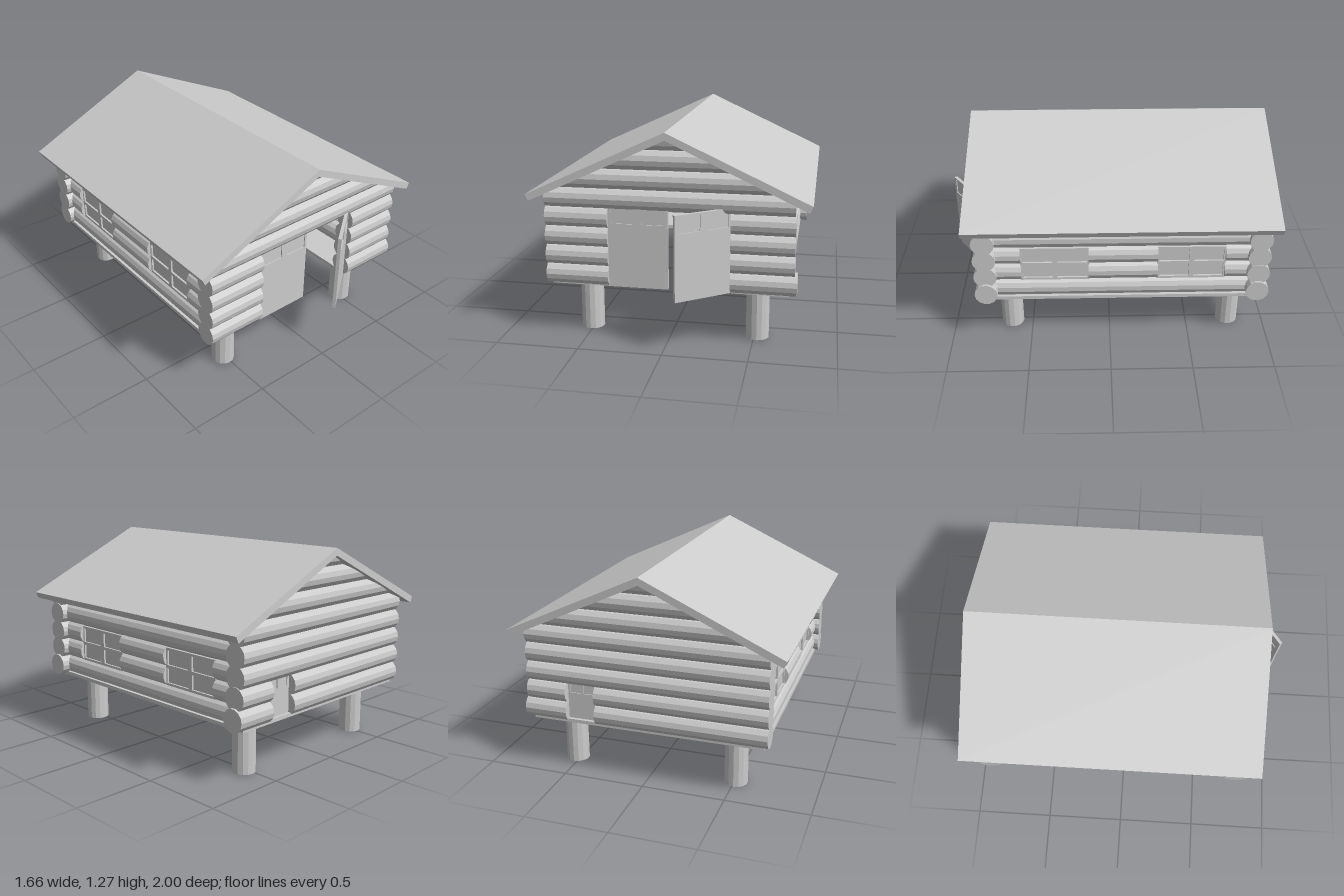
import * as THREE from 'three';

const R = 0.07, ROW0 = 0.39, STEP = 0.118;   // log radius, first row height, row spacing
const APEX = 1.225, SLOPE = 0.464;           // underside of the roof
const FRONT_Z = 0.755, BACK_Z = -0.9, SIDE_X = 0.64;

const mat = new THREE.MeshStandardMaterial({ color: 0xcccccc, flatShading: true });

function add(parent, name, geometry, x = 0, y = 0, z = 0) {
  const mesh = new THREE.Mesh(geometry, mat);
  mesh.name = name;
  mesh.position.set(x, y, z);
  parent.add(mesh);
  return mesh;
}

const rowY = (i) => ROW0 + i * STEP;

// Log along x whose ends are trimmed to stay beneath the roof slope
function crossLog(parent, name, x0, x1, y, z) {
  const g = new THREE.CylinderGeometry(R, R, x1 - x0, 14).rotateZ(Math.PI / 2);
  g.translate((x0 + x1) / 2, y, z);
  const p = g.attributes.position;
  for (let i = 0; i < p.count; i++) {
    const py = Math.min(p.getY(i), APEX + 0.01);
    const limit = Math.max(0, (APEX + 0.01 - py) / SLOPE);
    p.setY(i, py);
    p.setX(i, THREE.MathUtils.clamp(p.getX(i), -limit, limit));
  }
  g.computeVertexNormals();
  add(parent, name, g);
}

// Log along z
function sideLog(parent, x, y, z0, z1) {
  const g = new THREE.CylinderGeometry(R, R, z1 - z0, 14).rotateX(Math.PI / 2);
  add(parent, 'sideLog', g, x, y, (z0 + z1) / 2);
}

function rectPath(Type, x0, y0, x1, y1) {
  return new Type([[x0, y0], [x1, y0], [x1, y1], [x0, y1]].map(([x, y]) => new THREE.Vector2(x, y)));
}

// Flat panel with recessed panes, centred in x and z, standing on y = 0
function panedPanel(name, w, h, depth, panes) {
  const group = new THREE.Group();
  group.name = name;
  const shape = rectPath(THREE.Shape, -w / 2, 0, w / 2, h);
  for (const [x0, y0, x1, y1] of panes) {
    shape.holes.push(rectPath(THREE.Path, x0, y0, x1, y1));
    add(group, 'pane', new THREE.BoxGeometry(x1 - x0, y1 - y0, depth * 0.4), (x0 + x1) / 2, (y0 + y1) / 2, 0);
  }
  const g = new THREE.ExtrudeGeometry(shape, { depth, bevelEnabled: false }).translate(0, 0, -depth / 2);
  add(group, 'frame', g);
  return group;
}

function door(name, w, h) {
  const top = h - 0.012, low = h - 0.108;
  return panedPanel(name, w, h, 0.02, [
    [-w / 2 + 0.022, low, -0.02, top],
    [0.022, low, w / 2 - 0.016, top],
  ]);
}

export function createModel() {
  const root = new THREE.Group();
  root.name = 'logCabin';

  // Stilts
  for (const x of [-0.51, 0.52])
    for (const z of [0.63, -0.77])
      add(root, 'stilt', new THREE.CylinderGeometry(R, R, 0.34, 14), x, 0.17, z);

  // Floor with the doorway notch running inward from the front
  const floor = new THREE.Shape([
    [-0.71, -0.78], [-0.355, -0.78], [-0.355, 0.49], [0.37, 0.49],
    [0.37, -0.78], [0.71, -0.78], [0.71, 0.94], [-0.71, 0.94],
  ].map(([x, y]) => new THREE.Vector2(x, y)));
  const floorGeo = new THREE.ExtrudeGeometry(floor, { depth: 0.022, bevelEnabled: false });
  add(root, 'floor', floorGeo.rotateX(-Math.PI / 2), 0, 0.32, 0);

  // Front and back walls, rising into the gables
  const walls = new THREE.Group();
  walls.name = 'walls';
  root.add(walls);
  for (let i = 0; i < 8; i++) {
    const y = rowY(i), end = i === 0 ? 0.755 : 0.74;
    if (i < 4) {
      crossLog(walls, 'frontLog', -0.735, -0.355, y, FRONT_Z);
      crossLog(walls, 'frontLog', 0.37, end, y, FRONT_Z);
    } else {
      crossLog(walls, 'frontLog', -0.735, 0.735, y, FRONT_Z);
    }
    if (i < 2) {
      crossLog(walls, 'backLog', -0.735, 0.31, y, BACK_Z);
      crossLog(walls, 'backLog', 0.49, end, y, BACK_Z);
    } else {
      crossLog(walls, 'backLog', -0.735, 0.735, y, BACK_Z);
    }
  }

  // Side walls, with two window openings each
  for (const s of [-1, 1]) {
    for (let i = 0; i < 5; i++) {
      const spans = i === 1 || i === 2
        ? [[-0.88, -0.7], [-0.29, 0.13], [0.54, 0.73]]
        : [[-0.88, 0.73]];
      for (const [z0, z1] of spans) sideLog(walls, s * SIDE_X, rowY(i), z0, z1);
    }
    for (const z of [0.335, -0.495]) {
      const panes = [];
      for (const x of [-0.195, 0.015])
        for (const y of [0.015, 0.125]) panes.push([x, y, x + 0.18, y + 0.09]);
      const win = panedPanel('sideWindow', 0.42, 0.23, 0.04, panes);
      win.position.set(s * 0.665, 0.45, z);
      win.rotation.y = s * Math.PI / 2;
      root.add(win);
    }
  }

  // Double front door: one leaf shut, one swung open
  const shut = door('closedDoor', 0.36, 0.497);
  shut.position.set(-0.177, 0.325, 0.785);
  root.add(shut);
  const open = door('openDoor', 0.36, 0.51);
  open.position.set(0.221, 0.325, 0.884);
  open.rotation.y = 0.641;
  root.add(open);

  // Small hatch in the back wall
  const hatch = panedPanel('backHatch', 0.18, 0.25, 0.02, [
    [-0.075, 0.18, -0.01, 0.235], [0.01, 0.18, 0.075, 0.235],
  ]);
  hatch.position.set(0.4, 0.325, -0.91);
  root.add(hatch);

  // Gabled roof
  const roof = new THREE.Shape([
    [0, 1.27], [-0.832, 0.885], [-0.814, 0.846], [0, APEX], [0.814, 0.846], [0.832, 0.885],
  ].map(([x, y]) => new THREE.Vector2(x, y)));
  add(root, 'roof', new THREE.ExtrudeGeometry(roof, { depth: 1.863, bevelEnabled: false }), 0, 0, -1);

  return root;
}
